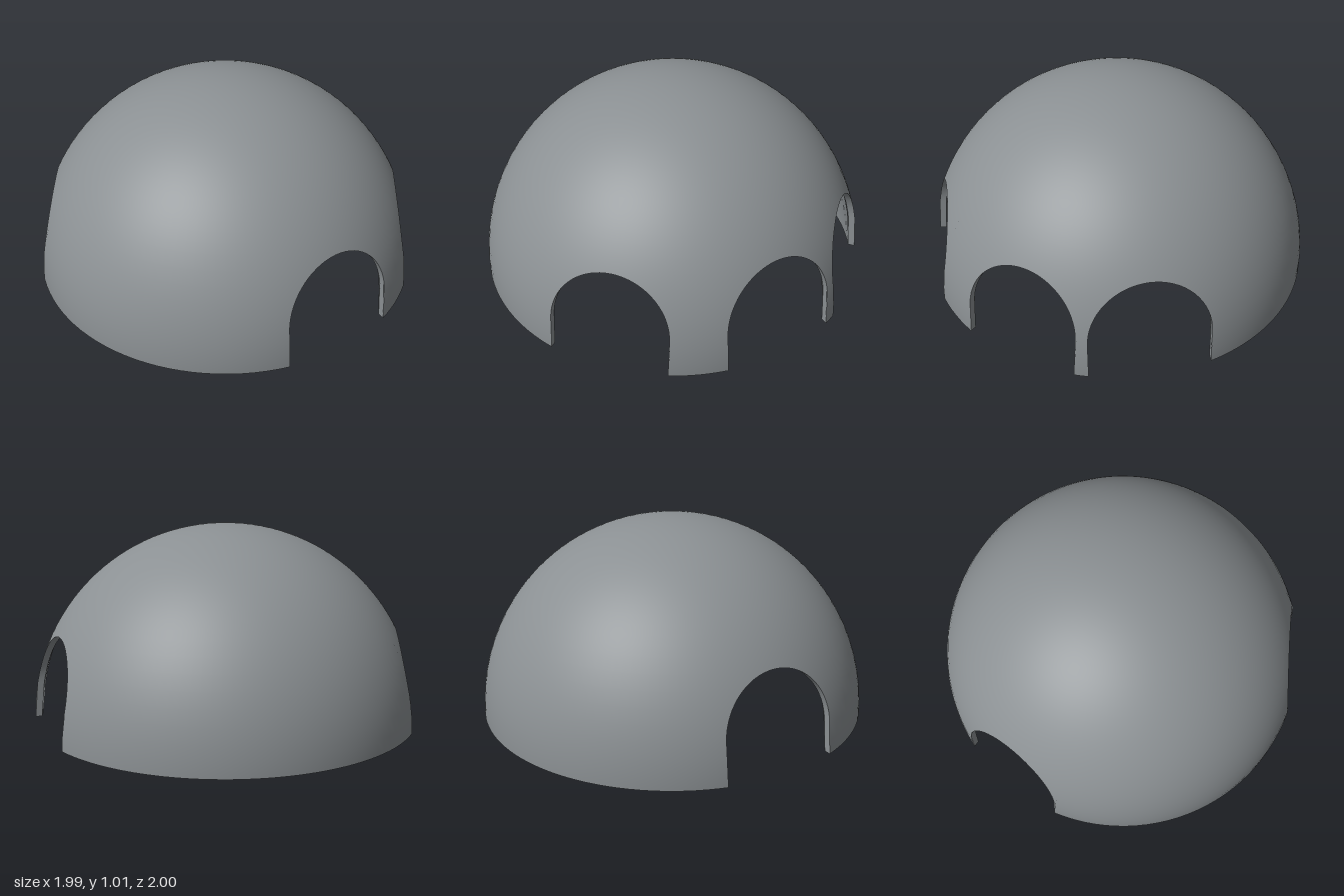
import * as THREE from 'three';
import { mergeVertices, toCreasedNormals } from 'three/addons/utils/BufferGeometryUtils.js';

const OUTER = 1.013, INNER = 0.98;          // shell radii
const HALF = 0.295, SPRING = 0.185;         // arch half width, height where the curve starts
const HUB = [0.068, -0.036];                // point where the doorway axes meet (from dome centre)
const DOORS = [0, 40, 90, 204.5];           // doorway directions, from +x towards +z
const RING = THREE.MathUtils.degToRad(34);  // elevation just above the arches
const RAD = Math.PI / 180, ARCH_STEPS = 32;

const point = (R, az, el) => [R * Math.cos(el) * Math.cos(az), R * Math.sin(el), R * Math.cos(el) * Math.sin(az)];

// Points of one doorway outline on a sphere of radius R, foot to foot: [azimuth, elevation, ringAzimuth]
function doorway(R, deg) {
  const a = deg * RAD;
  const offset = -HUB[0] * Math.sin(a) + HUB[1] * Math.cos(a);
  const at = (u, y, shift) => {
    const el = Math.asin(y / R);
    const az = a + Math.asin((offset + u) / (R * Math.cos(el)));
    return [az, el, az + shift * RAD * u / HALF];
  };
  const pts = [at(-HALF, 0, 1.9)];
  for (let i = 0; i <= ARCH_STEPS; i++) {
    const t = Math.PI * i / ARCH_STEPS;
    pts.push(at(-HALF * Math.cos(t), SPRING + HALF * Math.sin(t), 1.3));
  }
  pts.push(at(HALF, 0, 1.9));
  return pts;
}

// Whole lower edge of the shell: doorways joined by arcs on the ground
function lowerEdge(R) {
  const doors = DOORS.map((d) => doorway(R, d));
  const edge = [];
  doors.forEach((door, i) => {
    edge.push(...door);
    const last = i === doors.length - 1;
    const from = door[door.length - 1];
    const to = doors[(i + 1) % doors.length][0];
    const turn = last ? 2 * Math.PI : 0;
    const next = DOORS[(i + 1) % DOORS.length] + (last ? 360 : 0);
    const n = Math.max(2, Math.ceil((next - DOORS[i] - 34) / 3));
    for (let k = 1; k < n; k++) {
      const f = k / n;
      edge.push([0, 1, 2].map((c) => from[c] + (to[c] + (c === 1 ? 0 : turn) - from[c]) * f));
    }
  });
  const first = edge[0];
  edge.push([first[0] + 2 * Math.PI, first[1], first[2] + 2 * Math.PI]);
  return edge;
}

// Curved skin: columns rise from the lower edge to the ring, then on to the pole
function skin(R, edge, ringEdge, inward) {
  const pos = [], nor = [], idx = [], low = 8, high = 20, rows = low + high + 1;
  edge.forEach(([az, el], i) => {
    const ringAz = ringEdge[i][2];
    for (let j = 0; j < rows; j++) {
      const f = Math.min(j / low, 1), g = Math.max(0, (j - low) / high);
      const e = j <= low ? el + (RING - el) * f : RING + (Math.PI / 2 - RING) * g;
      const p = point(R, az + (ringAz - az) * f, e);
      pos.push(...p);
      nor.push(...p.map((v) => (inward ? -v : v) / R));
    }
  });
  for (let i = 0; i < edge.length - 1; i++) {
    for (let j = 0; j < rows - 1; j++) {
      const a = i * rows + j, b = a + rows, c = b + 1, d = a + 1;
      if (inward) idx.push(a, c, d, a, b, c);
      else idx.push(a, d, c, a, c, b);
    }
  }
  const g = new THREE.BufferGeometry();
  g.setAttribute('position', new THREE.Float32BufferAttribute(pos, 3));
  g.setAttribute('normal', new THREE.Float32BufferAttribute(nor, 3));
  g.setIndex(idx);
  return g;
}

// Thickness of the shell: base rim, door jambs and arch soffits
function rim(outer, inner) {
  const pos = [];
  for (let i = 0; i < outer.length - 1; i++) {
    const o0 = point(OUTER, outer[i][0], outer[i][1]), o1 = point(OUTER, outer[i + 1][0], outer[i + 1][1]);
    const n0 = point(INNER, inner[i][0], inner[i][1]), n1 = point(INNER, inner[i + 1][0], inner[i + 1][1]);
    pos.push(...o0, ...o1, ...n0, ...o1, ...n1, ...n0);
  }
  const g = new THREE.BufferGeometry();
  g.setAttribute('position', new THREE.Float32BufferAttribute(pos, 3));
  return toCreasedNormals(mergeVertices(g), 0.5);
}

export function createModel() {
  const group = new THREE.Group();
  group.name = 'archedDome';
  const grey = new THREE.MeshStandardMaterial({ color: 0x8b9093 });
  grey.name = 'stone grey';

  const outer = lowerEdge(OUTER), inner = lowerEdge(INNER);
  const add = (name, geometry) => {
    const mesh = new THREE.Mesh(geometry, grey);
    mesh.name = name;
    mesh.position.set(0.017, 0, 0.013);
    group.add(mesh);
  };
  add('outerDome', skin(OUTER, outer, outer, false));
  add('innerDome', skin(INNER, inner, outer, true));
  add('rimAndDoorJambs', rim(outer, inner));
  return group;
}
